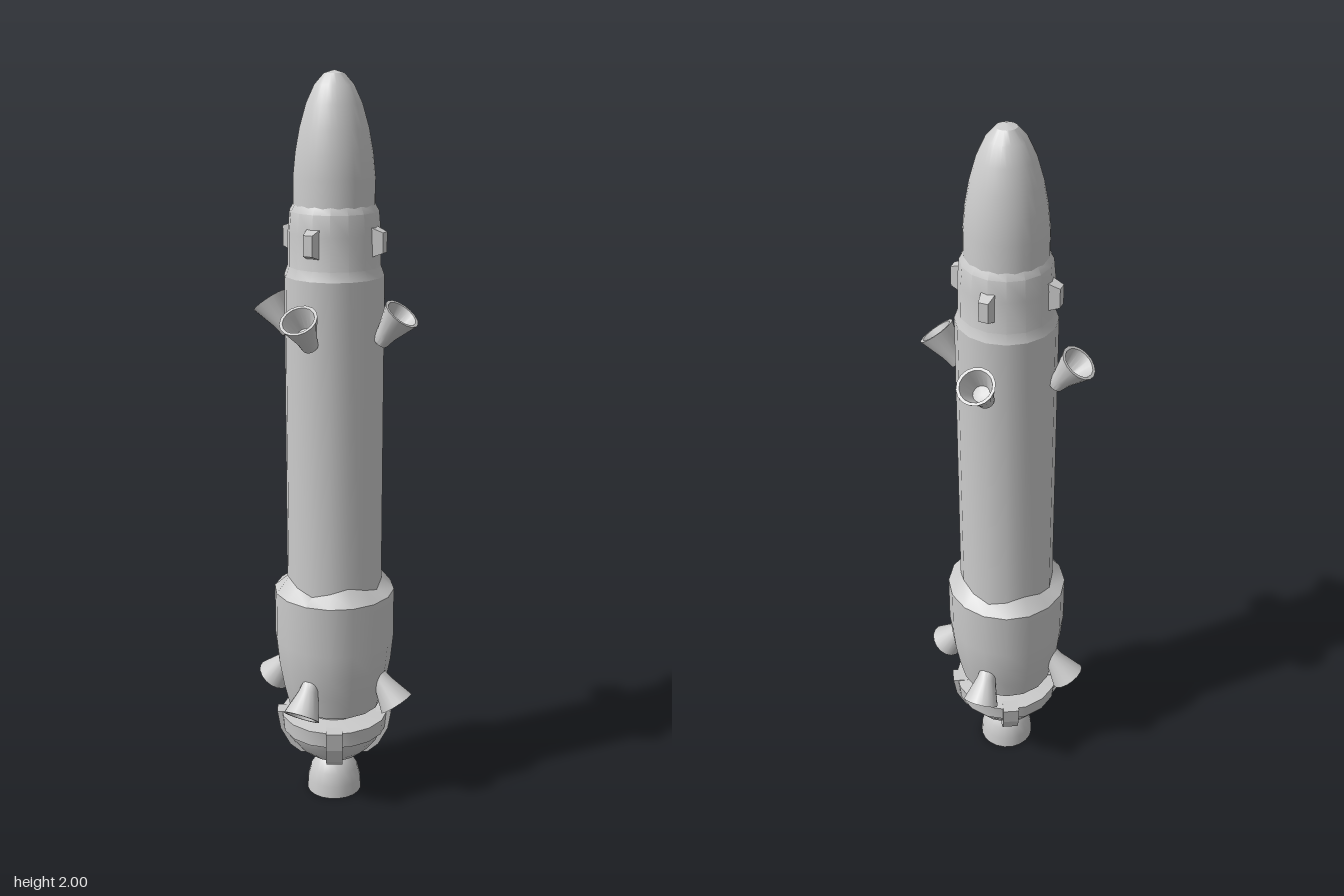
import * as THREE from 'three';
import { toCreasedNormals } from 'three/addons/utils/BufferGeometryUtils.js';

const material = new THREE.MeshStandardMaterial({ color: 0xcccccc, side: THREE.DoubleSide });

function mesh(name, geometry) {
  const m = new THREE.Mesh(geometry, material);
  m.name = name;
  return m;
}

// Revolved part; points run [radius, y] up the outside
function turned(name, points, segments = 16) {
  const geo = new THREE.LatheGeometry(points.map(([r, y]) => new THREE.Vector2(r, y)), segments);
  return mesh(name, toCreasedNormals(geo, 0.5));
}

// Four copies around the axis, starting at a given angle from the front
function aroundAxis(group, name, start, make) {
  for (let i = 0; i < 4; i++) {
    const arm = new THREE.Group();
    arm.name = name + (i + 1);
    arm.rotation.y = start + i * Math.PI / 2;
    arm.add(make());
    group.add(arm);
  }
}

// Hollow flared nozzle, tilted outward and up (1) or down (-1)
function thruster(y, up) {
  const bell = turned('thrusterBell', [
    [0, -0.1], [0.022, -0.1], [0.027, -0.07], [0.05, 0], [0.042, 0], [0.022, -0.055], [0, -0.06],
  ]);
  bell.position.set(0, y, 0.194);
  bell.rotation.x = up > 0 ? 0.655 : Math.PI - 0.655;
  return bell;
}

export function createModel() {
  const rocket = new THREE.Group();
  rocket.name = 'rocket';

  // Nose, shoulder and main tube
  rocket.add(turned('noseCone', [
    [0.105, 1.64], [0.105, 1.74], [0.099, 1.8], [0.088, 1.86], [0.071, 1.92],
    [0.05, 1.965], [0.026, 1.992], [0, 2],
  ], 32));
  rocket.add(turned('shoulder', [
    [0.13, 1.49], [0.121, 1.515], [0.12, 1.6], [0.115, 1.655], [0.104, 1.675],
  ]));
  rocket.add(turned('body', [[0.13, 0.3], [0.13, 1.49]]));

  // Wide lower skirt with a closed underside
  rocket.add(turned('skirt', [
    [0, 0.28], [0.13, 0.28], [0.145, 0.34], [0.158, 0.41], [0.165, 0.48], [0.165, 0.62],
  ]));

  // Collar whose upper edge waves four times round the body
  const collar = new THREE.LatheGeometry(
    [new THREE.Vector2(0.165, 0.62), new THREE.Vector2(0.13, 0.65)], 16);
  const p = collar.attributes.position;
  for (let i = 0; i < p.count; i++) {
    if (p.getY(i) > 0.64) {
      const angle = Math.atan2(p.getX(i), p.getZ(i));
      p.setY(i, 0.65 - 0.014 * Math.cos(4 * angle));
    }
  }
  collar.computeVertexNormals();
  rocket.add(mesh('collar', collar));

  // Neck, engine bowl and its ribs
  rocket.add(turned('neck', [[0.082, 0.24], [0.082, 0.29]]));
  rocket.add(turned('engineBowl', [
    [0, 0.12], [0.075, 0.12], [0.105, 0.145], [0.13, 0.178], [0.138, 0.198],
    [0.146, 0.2], [0.15, 0.245], [0.08, 0.252],
  ]));
  const outline = [[0.06, 0.12], [0.094, 0.12], [0.125, 0.145], [0.152, 0.195], [0.161, 0.248], [0.06, 0.248]];
  const ribShape = new THREE.Shape(outline.map(([r, y]) => new THREE.Vector2(r, y)));
  aroundAxis(rocket, 'engineRib', 0.48, () => {
    const geo = new THREE.ExtrudeGeometry(ribShape, { depth: 0.045, bevelEnabled: false });
    geo.translate(0, 0, -0.0225);
    geo.rotateY(-Math.PI / 2);
    return mesh('rib', geo);
  });

  // Main nozzle, open below
  rocket.add(turned('mainNozzle', [
    [0.07, 0], [0.077, 0], [0.075, 0.035], [0.066, 0.07], [0.05, 0.097], [0.03, 0.115], [0.02, 0.125],
  ], 20));
  rocket.add(turned('mainNozzleLining', [
    [0, 0.105], [0.03, 0.102], [0.047, 0.085], [0.061, 0.06], [0.069, 0.03], [0.07, 0],
  ], 20));

  // Side thrusters
  aroundAxis(rocket, 'upperThruster', 0, () => thruster(1.405, 1));
  aroundAxis(rocket, 'lowerThruster', 0, () => thruster(0.308, -1));

  // Small tapered blocks on the shoulder
  aroundAxis(rocket, 'shoulderBlock', 0, () => {
    const geo = new THREE.CylinderGeometry(0.5, 0.74, 1, 4).toNonIndexed();
    geo.rotateY(Math.PI / 4);
    geo.rotateX(Math.PI / 2);
    geo.scale(0.036, 0.074, 0.034);
    geo.computeVertexNormals();
    const block = mesh('block', geo);
    block.position.set(0, 1.582, 0.127);
    return block;
  });

  return rocket;
}
